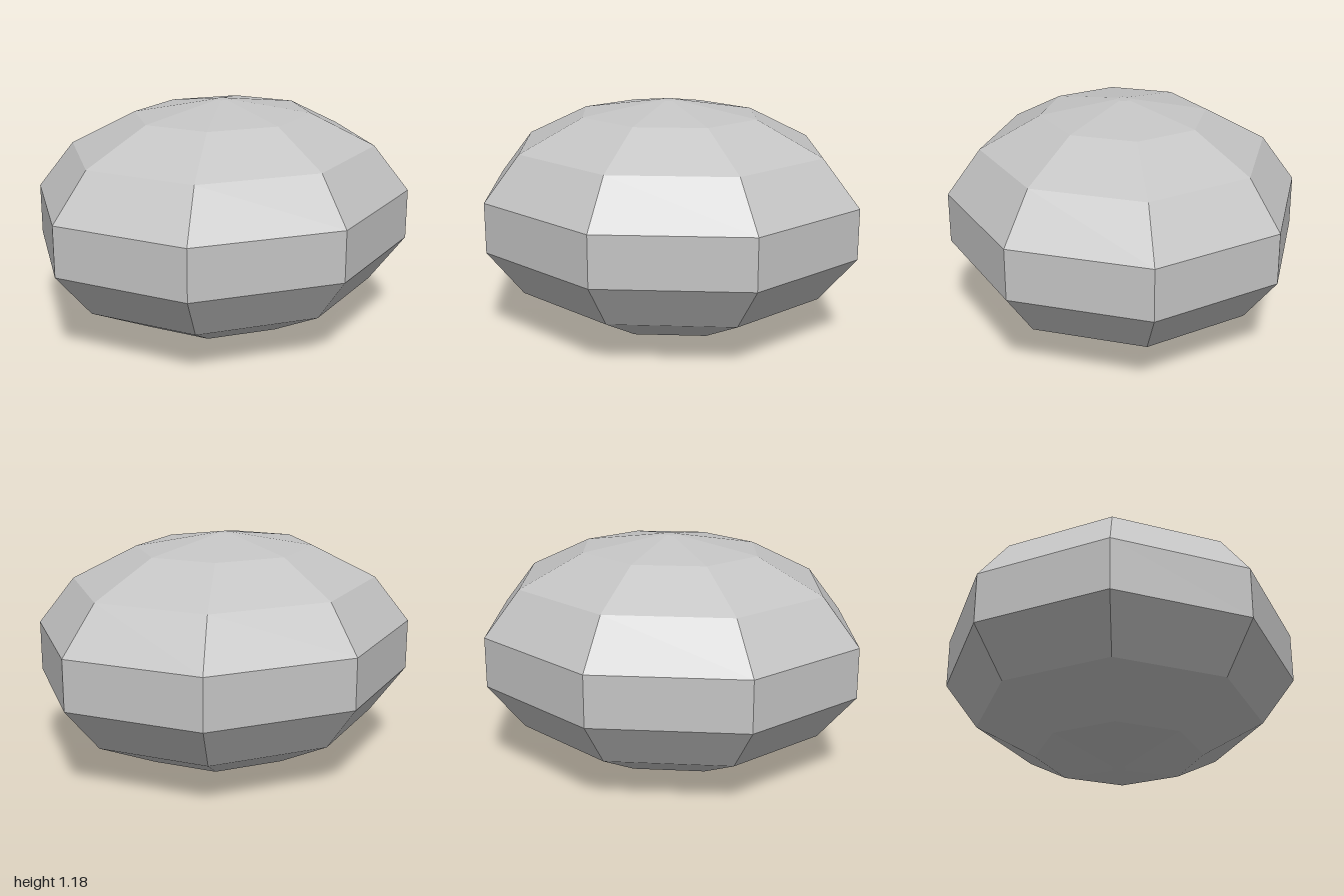
import * as THREE from 'three';

export function createModel() {
  const group = new THREE.Group();
  group.name = 'boulder';

  const stoneGrey = new THREE.MeshStandardMaterial({ color: 0xc4c4c4, flatShading: true });
  stoneGrey.name = 'stoneGrey';

  // Lower half of the profile (radius, height), mirrored for the upper half
  const height = 1.18;
  const lower = [[0, 0], [0.04, 0], [0.47, 0.068], [0.81, 0.232], [1, 0.463]];
  const upper = lower.map(([r, y]) => [r, height - y]).reverse();
  const profile = [...lower, ...upper].map(([r, y]) => new THREE.Vector2(r, y));

  // Eight-sided faceted body, slightly narrower front to back
  const geometry = new THREE.LatheGeometry(profile, 8).scale(1, 1, 0.893).toNonIndexed();
  geometry.computeVertexNormals();

  const body = new THREE.Mesh(geometry, stoneGrey);
  body.name = 'stoneBody';
  group.add(body);
  return group;
}
